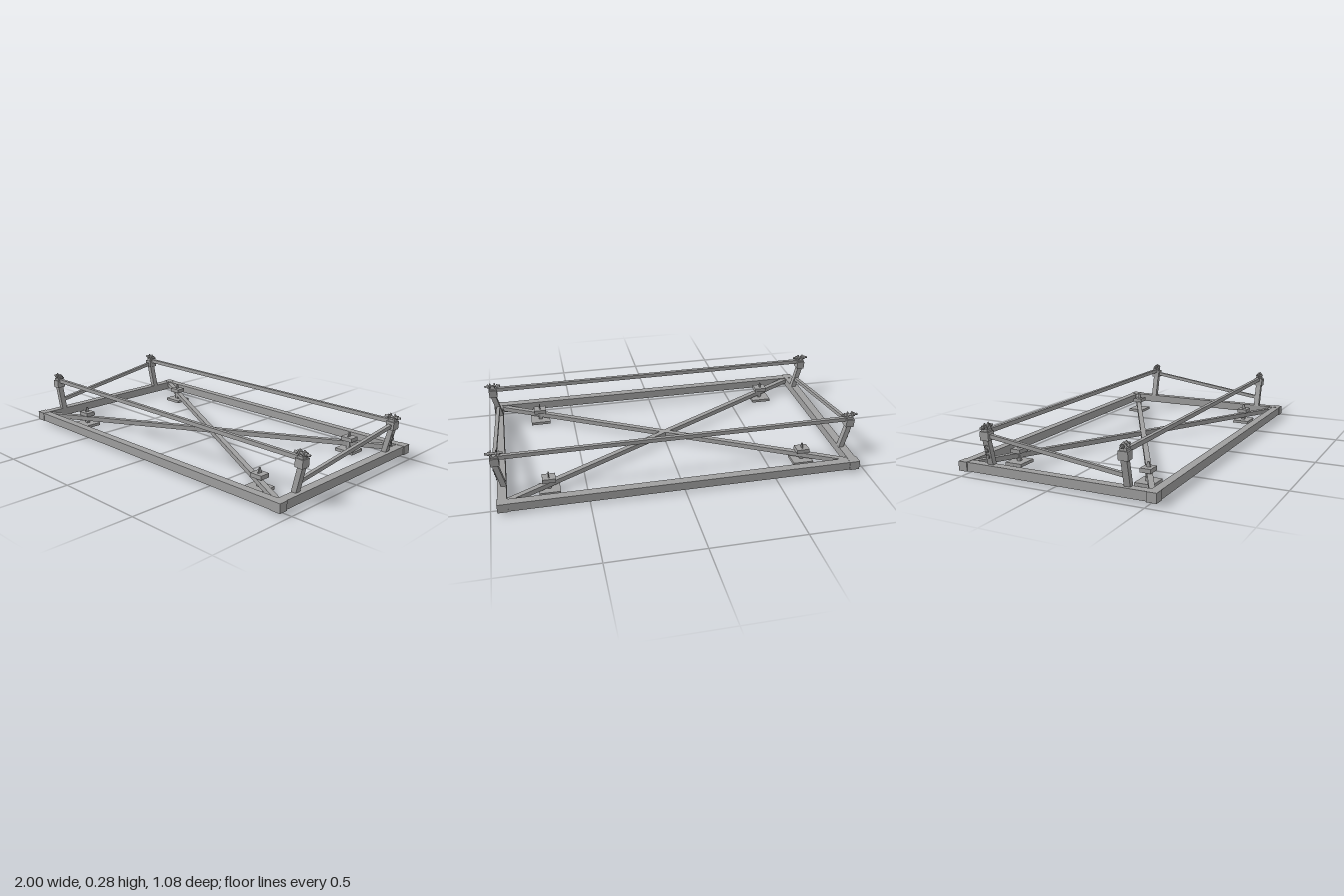
import * as THREE from 'three';

export function createModel() {
  const model = new THREE.Group();
  model.name = 'braceFrame';
  const steel = new THREE.MeshStandardMaterial({ color: 0xa0a0a0 });
  steel.name = 'steelGrey';
  const V = (x, y, z) => new THREE.Vector3(x, y, z);

  const add = (parent, name, geometry, x = 0, y = 0, z = 0) => {
    const mesh = new THREE.Mesh(geometry, steel);
    mesh.name = name;
    mesh.position.set(x, y, z);
    parent.add(mesh);
    return mesh;
  };
  const box = (parent, name, w, h, d, x, y, z) =>
    add(parent, name, new THREE.BoxGeometry(w, h, d), x, y, z);

  // Square bar running from a to b
  const bar = (name, a, b, w, h) => {
    const mid = a.clone().add(b).multiplyScalar(0.5);
    const mesh = box(model, name, w, h, a.distanceTo(b), mid.x, mid.y, mid.z);
    mesh.lookAt(b);
    return mesh;
  };

  // Base frame with slightly larger corner blocks
  for (const s of [-1, 1]) {
    box(model, 'longBeam', 1.83, 0.046, 0.044, 0, 0.039, s * 0.517);
    box(model, 'endBeam', 0.046, 0.046, 0.99, s * 0.937, 0.039, 0);
    for (const t of [-1, 1]) {
      box(model, 'cornerBlock', 0.055, 0.049, 0.05, s * 0.938, 0.039, t * 0.517);
    }
    // Diagonal of the floor cross
    bar('diagonalBeam', V(-0.92, 0.045, -s * 0.5), V(0.92, 0.045, s * 0.5), 0.028, 0.026);
  }

  // Feet clamped on the diagonals
  for (const x of [-0.695, 0.695]) {
    for (const z of [-0.373, 0.373]) {
      const foot = new THREE.Group();
      foot.name = 'foot';
      foot.position.set(x, 0, z * 0.995);
      model.add(foot);
      box(foot, 'footPad', 0.112, 0.016, 0.096, 0, 0.008, 0);
      box(foot, 'footStem', 0.02, 0.05, 0.02, 0, 0.038, 0);
      box(foot, 'footClamp', 0.07, 0.022, 0.058, 0, 0.073, 0);
      const tab = new THREE.Shape([[-0.012, 0], [0.012, 0], [0.004, 0.028], [-0.004, 0.028]]
        .map(([u, v]) => new THREE.Vector2(u, v)));
      const pin = add(foot, 'footPin',
        new THREE.ExtrudeGeometry(tab, { depth: 0.006, bevelEnabled: false }), -0.003, 0.084, 0);
      pin.rotation.y = Math.PI / 2;
    }
  }

  // Lug plate for the top clamps, facing along x
  const lugGeometry = (points) => {
    const shape = new THREE.Shape(points.map(([u, v]) => new THREE.Vector2(u, v)));
    const hole = new THREE.Path();
    hole.absarc(0, 0, 0.005, 0, Math.PI * 2, true);
    shape.holes.push(hole);
    const g = new THREE.ExtrudeGeometry(shape, { depth: 0.006, bevelEnabled: false, curveSegments: 6 });
    return g.translate(0, 0, -0.003).rotateY(Math.PI / 2);
  };
  const diamond = lugGeometry([[0, -0.02], [0.02, 0], [0, 0.02], [-0.02, 0]]);
  const pointed = lugGeometry([[-0.019, -0.008], [0.019, -0.008], [0, 0.02]]);
  const bolt = new THREE.CylinderGeometry(0.006, 0.006, 0.09, 8).rotateZ(Math.PI / 2);
  const nut = new THREE.CylinderGeometry(0.011, 0.011, 0.008, 6).rotateZ(Math.PI / 2);

  const frontZ = 0.385, rearZ = -0.365;
  for (const z of [frontZ, rearZ]) {
    // Upper rail
    box(model, 'upperRail', 1.9, 0.022, 0.02, 0, 0.233, z);

    for (const s of [-1, 1]) {
      // Outward-leaning post
      const post = box(model, 'post', 0.028, 0.155, 0.032, s * 0.943, 0.132, z);
      post.rotation.z = -s * 0.24;

      // Collar and clamp on top of the post
      const head = new THREE.Group();
      head.name = 'postHead';
      head.position.set(s * 0.957, 0, z);
      model.add(head);
      const collar = box(head, 'collar', 0.045, 0.044, 0.05, 0, 0.214, 0);
      collar.rotation.z = -s * 0.05;
      box(head, 'clampBase', 0.036, 0.013, 0.034, 0, 0.241, 0);
      add(head, 'clampBolt', bolt, 0, 0.257, 0);
      for (const dx of [-0.013, 0.013]) {
        add(head, 'clampLug', z > 0 ? diamond : pointed, dx, 0.257, 0);
        add(head, 'clampNut', nut, dx * 2, 0.257, 0);
      }
    }
  }

  for (const s of [-1, 1]) {
    // Sloping side brace, low at the front and high at the rear
    bar('sideBrace', V(s * 0.937, 0.113, frontZ - 0.002), V(s * 0.957, 0.213, rearZ + 0.015), 0.02, 0.02);

    // Chain links hanging on the outside of the rear posts
    for (let i = 0; i < 4; i++) {
      const y = 0.107 + i * 0.016;
      const link = add(model, 'chainLink', new THREE.TorusGeometry(0.01, 0.0025, 5, 10),
        s * (0.953 + (y - 0.107) * 0.24), y, rearZ);
      link.rotation.set(i % 2 ? 0.5 : -0.5, Math.PI / 2 + (i % 2 ? 0.5 : -0.5), 0);
    }
  }

  return model;
}
